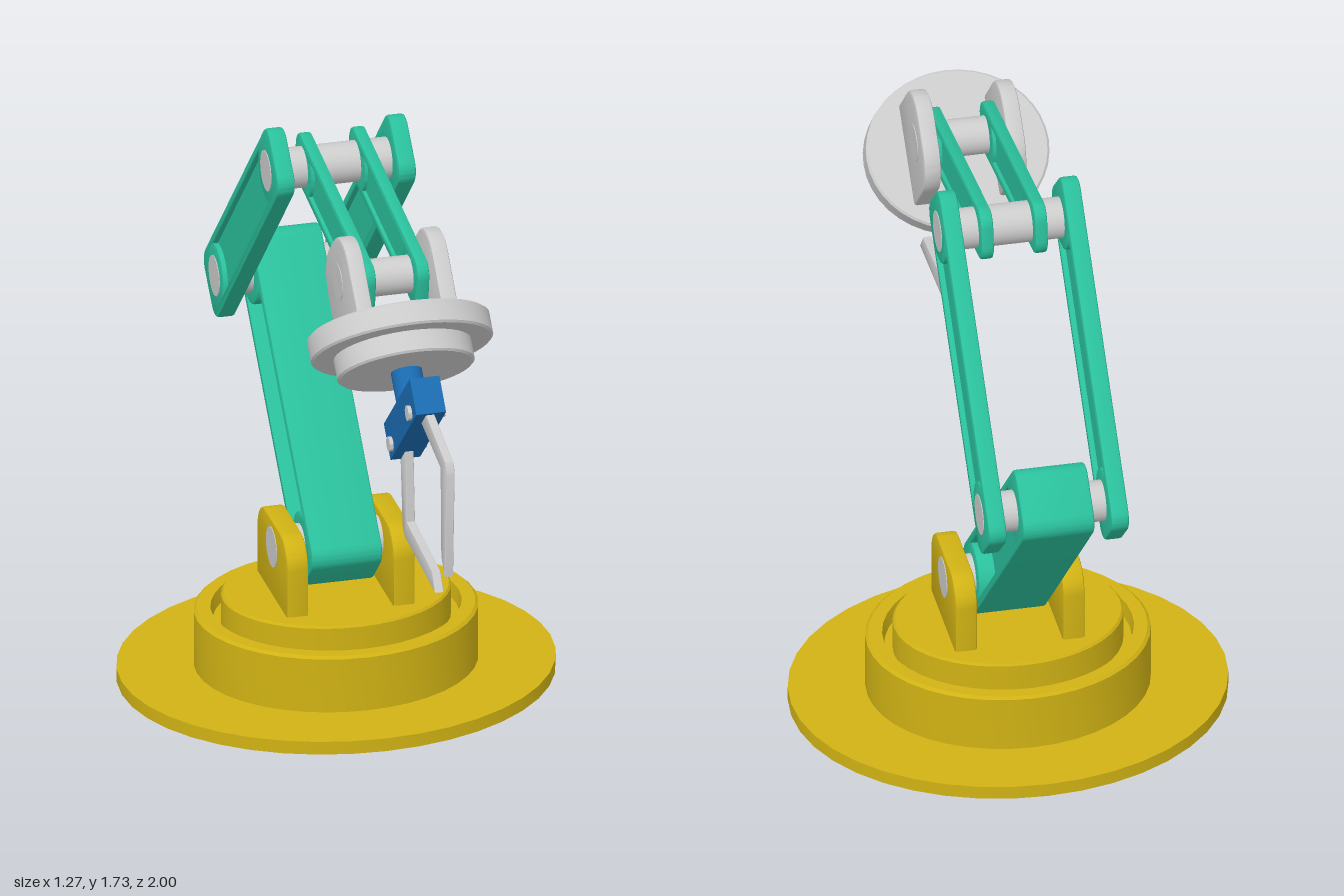
import * as THREE from 'three';
import { toCreasedNormals } from 'three/addons/utils/BufferGeometryUtils.js';

const mat = (color) => new THREE.MeshStandardMaterial({ color });
const YELLOW = mat(0xd0b214), GREEN = mat(0x2abf9b), BLUE = mat(0x1a6ab0);
const GREY = mat(0xcccccc);

// The arm is drawn in a side plane: u = forward, v = up, w = sideways.
const SHOULDER = [-0.29, 0.415], ELBOW = [-0.874, 1.01];
const KNUCKLE = [-0.293, 1.606], WRIST = [0.302, 1.519];

function add(parent, name, geometry, material) {
  const mesh = new THREE.Mesh(toCreasedNormals(geometry, 0.6), material);
  mesh.name = name;
  parent.add(mesh);
  return mesh;
}

// Extrude a side shape between two sideways positions, with a small bevel
function slab(shape, w0, w1, bevel = 0.008) {
  const geometry = new THREE.ExtrudeGeometry(shape, {
    depth: w1 - w0 - 2 * bevel, curveSegments: 8, bevelEnabled: bevel > 0,
    bevelThickness: bevel, bevelSize: bevel, bevelOffset: -bevel, bevelSegments: 2,
  });
  return geometry.translate(0, 0, w0 + bevel);
}

function roundedRect(u0, u1, v0, v1, r) {
  const s = new THREE.Shape();
  s.moveTo(u0 + r, v0);
  s.lineTo(u1 - r, v0).absarc(u1 - r, v0 + r, r, -Math.PI / 2, 0);
  s.lineTo(u1, v1 - r).absarc(u1 - r, v1 - r, r, 0, Math.PI / 2);
  s.lineTo(u0 + r, v1).absarc(u0 + r, v1 - r, r, Math.PI / 2, Math.PI);
  s.lineTo(u0, v0 + r).absarc(u0 + r, v0 + r, r, Math.PI, Math.PI * 1.5);
  return s;
}

// Arm link with a recessed pocket on both flat sides
function link(parent, name, a, b, half, end, w0, w1, web) {
  const length = Math.hypot(b[0] - a[0], b[1] - a[1]);
  const outline = () => roundedRect(-end, length + end, -half, half, 0.05);
  const rim = outline();
  const p = half - 0.026, r = 0.095;
  const t = Math.asin(Math.min(1, p / r));
  const pocket = new THREE.Path();
  pocket.absarc(0, 0, r, -t, t, false);
  pocket.absarc(length, 0, r, Math.PI - t, Math.PI + t, false);
  pocket.closePath();
  rim.holes.push(pocket);
  const group = new THREE.Group();
  group.name = name;
  group.position.set(a[0], a[1], 0);
  group.rotation.z = Math.atan2(b[1] - a[1], b[0] - a[0]);
  const mid = (w0 + w1) / 2;
  add(group, name + 'Rim', slab(rim, w0, w1), GREEN);
  const inner = roundedRect(0.06, length - 0.06, -half + 0.012, half - 0.012, 0.02);
  add(group, name + 'Web', slab(inner, mid - web / 2, mid + web / 2, 0), GREEN);
  parent.add(group);
}

function pin(parent, name, [u, v], r, halfLength, material = GREY) {
  const geometry = new THREE.CylinderGeometry(r, r, 2 * halfLength, 24);
  add(parent, name, geometry.rotateX(Math.PI / 2), material).position.set(u, v, 0);
}

function lathe(points, segments = 40) {
  return new THREE.LatheGeometry(points.map(([x, y]) => new THREE.Vector2(x, y)), segments);
}

// Lug with a rounded top, centred on u = 0
function lugShape(half, bottom, top, r) {
  const s = new THREE.Shape();
  s.moveTo(-half, bottom);
  s.lineTo(half, bottom);
  s.lineTo(half, top - r).absarc(half - r, top - r, r, 0, Math.PI / 2);
  s.lineTo(-half + r, top).absarc(-half + r, top - r, r, Math.PI / 2, Math.PI);
  s.closePath();
  return s;
}

function polygon(points) {
  return new THREE.Shape(points.map(([u, v]) => new THREE.Vector2(u, v)));
}

export function createModel() {
  const model = new THREE.Group();
  model.name = 'robotArm';
  const side = new THREE.Group();
  side.name = 'armAssembly';
  side.rotation.y = -Math.PI / 2; // u -> +z, v -> +y, w -> -x
  model.add(side);

  // Oval base with a raised drum and a groove around the turntable
  const base = add(side, 'base', lathe([
    [0, 0], [0.56, 0], [0.56, 0.04], [0.363, 0.04], [0.363, 0.207],
    [0.355, 0.215], [0.32, 0.215], [0.315, 0.17], [0, 0.17],
  ]), YELLOW);
  base.position.x = SHOULDER[0];
  base.scale.z = 1.133;
  const turntable = add(side, 'turntable',
    lathe([[0, 0.1], [0.267, 0.1], [0.267, 0.26], [0.262, 0.267], [0, 0.267]]), YELLOW);
  turntable.position.x = SHOULDER[0];
  turntable.scale.z = 1.25;

  // Lugs, paired plates and arm links
  for (const s of [-1, 1]) {
    const span = (a, b) => (s > 0 ? [a, b] : [-b, -a]);
    add(side, 'baseLug', slab(lugShape(0.17, 0.25, 0.495, 0.085), ...span(0.125, 0.19)), YELLOW)
      .position.x = SHOULDER[0];
    link(side, 'upperArm', ELBOW, KNUCKLE, 0.105, 0.105, ...span(0.153, 0.206), 0.022);
    link(side, 'forearm', KNUCKLE, WRIST, 0.08, 0.09, ...span(0.06, 0.098), 0.016);
  }
  link(side, 'lowerArm', SHOULDER, ELBOW, 0.105, 0.105, -0.105, 0.105, 0.11);

  // Hinge pins
  pin(side, 'shoulderPin', SHOULDER, 0.06, 0.192);
  pin(side, 'elbowPin', ELBOW, 0.06, 0.208);
  pin(side, 'knucklePin', KNUCKLE, 0.06, 0.208);
  pin(side, 'wristPin', WRIST, 0.055, 0.152);

  // Wrist, built pointing down and tilted forward about the wrist pin
  const wrist = new THREE.Group();
  wrist.name = 'wrist';
  wrist.position.set(WRIST[0], WRIST[1], 0);
  wrist.rotation.z = THREE.MathUtils.degToRad(43.3);
  side.add(wrist);
  for (const w of [-0.15, 0.1]) {
    add(wrist, 'wristLug', slab(lugShape(0.15, -0.17, 0.115, 0.11), w, w + 0.05), GREY);
  }
  const flange = add(wrist, 'wristFlange', lathe([
    [0, -0.29], [0.172, -0.29], [0.178, -0.284], [0.178, -0.225], [0.23, -0.225],
    [0.236, -0.219], [0.236, -0.158], [0.23, -0.152], [0, -0.152],
  ]), GREY);
  flange.scale.z = 1.13;
  add(wrist, 'gripperShaft', new THREE.CylinderGeometry(0.045, 0.045, 0.12, 24), BLUE)
    .position.y = -0.335;
  add(wrist, 'gripperBlock', new THREE.BoxGeometry(0.4, 0.11, 0.088), BLUE)
    .position.y = -0.432;

  // Bent gripper fingers and their pivots
  const upper = [[0.70, 1.31], [0.985, 1.24], [1.0, 1.21], [0.98, 0.875],
    [0.94, 0.925], [0.932, 1.198], [0.70, 1.245]];
  const lower = [[0.535, 1.09], [0.553, 0.855], [0.837, 0.829], [0.874, 0.777],
    [0.53, 0.797], [0.505, 0.823], [0.475, 1.09]];
  add(side, 'upperFinger', slab(polygon(upper), -0.013, 0.013, 0.004), GREY);
  add(side, 'lowerFinger', slab(polygon(lower), -0.013, 0.013, 0.004), GREY);
  pin(side, 'upperFingerPivot', [0.714, 1.278], 0.022, 0.055);
  pin(side, 'lowerFingerPivot', [0.505, 1.085], 0.022, 0.055);

  return model;
}
